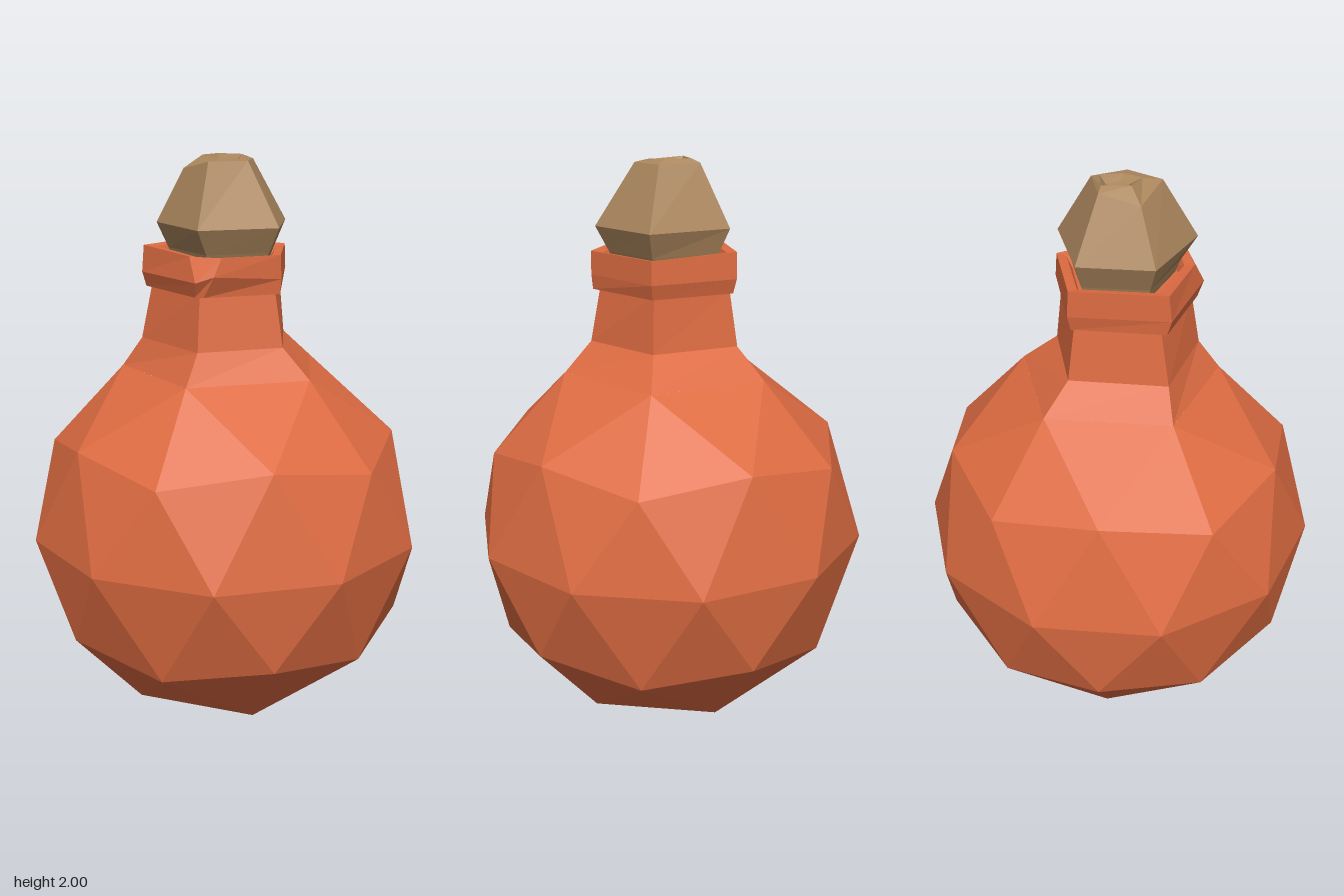
import * as THREE from 'three';

// Ring of points at height y; each entry is [x, z] with an optional height offset
const ring = (y, pts) => pts.map(([x, z, dy = 0]) => [x, y + dy, z]);

// Faceted skin through successive rings; the last ring may be closed by a fan
function loft(rings, { capStart = false, capEnd = false, endDrop = 0 } = {}) {
  const pos = [];
  const tri = (a, b, c) => pos.push(...a, ...b, ...c);
  const centre = (r) => [0, 1, 2].map((k) => r.reduce((s, p) => s + p[k], 0) / r.length);
  const n = rings[0].length;
  const first = centre(rings[0]);
  const last = centre(rings[rings.length - 1]);
  last[1] -= endDrop;
  for (let i = 0; i < n; i++) {
    const j = (i + 1) % n;
    for (let r = 0; r + 1 < rings.length; r++) {
      const a = rings[r], b = rings[r + 1];
      tri(a[i], b[i], a[j]);
      tri(a[j], b[i], b[j]);
    }
    if (capStart) tri(rings[0][i], rings[0][j], first);
    if (capEnd) tri(rings[rings.length - 1][j], rings[rings.length - 1][i], last);
  }
  return facets(pos);
}

function facets(pos) {
  const g = new THREE.BufferGeometry();
  g.setAttribute('position', new THREE.Float32BufferAttribute(pos, 3));
  g.computeVertexNormals();
  return g;
}

// Faceted ball standing on a pole, with the five top triangles opened for the neck
function flaskBall(radius, cy) {
  const ico = new THREE.IcosahedronGeometry(radius, 1);
  ico.rotateZ(-Math.atan(2 / (1 + Math.sqrt(5))));
  ico.translate(0, cy, 0);
  const src = ico.attributes.position.array;
  const pos = [];
  for (let i = 0; i < src.length; i += 9) {
    const t = Array.from(src.slice(i, i + 9));
    if (Math.max(t[1], t[4], t[7]) < cy + radius * 0.95) pos.push(...t);
  }
  return facets(pos);
}

export function createModel() {
  const clay = new THREE.MeshStandardMaterial({ color: 0xde6c42 });
  clay.name = 'orange clay';
  const corkBrown = new THREE.MeshStandardMaterial({ color: 0xab865d });
  corkBrown.name = 'cork brown';

  const group = new THREE.Group();
  group.name = 'flask';
  const add = (name, geometry, material) => {
    const m = new THREE.Mesh(geometry, material);
    m.name = name;
    group.add(m);
  };

  // Body
  const R = 0.687, CY = 0.692;
  add('body', flaskBall(R, CY), clay);

  // Neck rises from the opening in the ball
  const opening = [];
  for (let k = 0; k < 5; k++) {
    const a = (k * Math.PI * 2) / 5;
    opening.push([R * 0.5257 * Math.cos(a), R * 0.5257 * Math.sin(a)]);
  }
  add('neck', loft([
    ring(CY + R * 0.8507, opening),
    ring(1.38, [[0.265, 0.025], [0.1, 0.27], [-0.22, 0.19], [-0.215, -0.14], [0.085, -0.22]]),
    ring(1.57, [[0.23, 0.025], [0.085, 0.24], [-0.195, 0.16], [-0.19, -0.12], [0.08, -0.2]]),
  ]), clay);

  // Lip, with a chipped front corner and a hollow top
  add('lip', loft([
    ring(1.56, [[0.255, 0.03], [0.11, 0.25], [0.08, 0.26], [-0.205, 0.18], [-0.2, -0.13], [0.085, -0.205]]),
    ring(1.61, [[0.26, 0.03], [0.15, 0.245, 0.02], [0.1, 0.28], [-0.21, 0.195], [-0.21, -0.14], [0.09, -0.22]]),
    ring(1.69, [[0.26, 0.035], [0.16, 0.22], [0.05, 0.25], [-0.21, 0.185, 0.01], [-0.21, -0.135, 0.01], [0.09, -0.215]]),
    ring(1.685, [[0.22, 0.03], [0.12, 0.2], [0.05, 0.215], [-0.18, 0.15, 0.01], [-0.18, -0.11, 0.01], [0.08, -0.18]]),
    ring(1.65, [[0.2, 0.03], [0.11, 0.18], [0.05, 0.2], [-0.16, 0.13], [-0.16, -0.1], [0.07, -0.16]]),
  ], { capStart: true, capEnd: true }), clay);

  // Cork stopper with a small dent in the top
  add('cork', loft([
    ring(1.64, [[0.175, 0.02], [0.07, 0.18], [-0.14, 0.11], [-0.14, -0.08], [0.07, -0.15]]),
    ring(1.69, [[0.2, 0.02], [0.08, 0.2], [-0.155, 0.12], [-0.155, -0.1], [0.08, -0.17]]),
    ring(1.775, [[0.245, 0.025], [0.09, 0.255], [-0.19, 0.14], [-0.19, -0.115], [0.095, -0.21]]),
    ring(1.985, [[0.11, 0.02], [0.04, 0.14], [-0.115, 0.085, -0.03], [-0.1, -0.05], [0.045, -0.09]]),
    ring(2, [[0.065, 0.01, -0.01], [0.035, 0.075, -0.01], [-0.06, 0.05], [-0.07, -0.045], [0.02, -0.06]]),
    ring(1.975, [[0.04, 0.005], [0.02, 0.04], [-0.045, 0.035], [-0.05, -0.03], [0.01, -0.04]]),
  ], { capStart: true, capEnd: true, endDrop: 0.01 }), corkBrown);

  return group;
}
